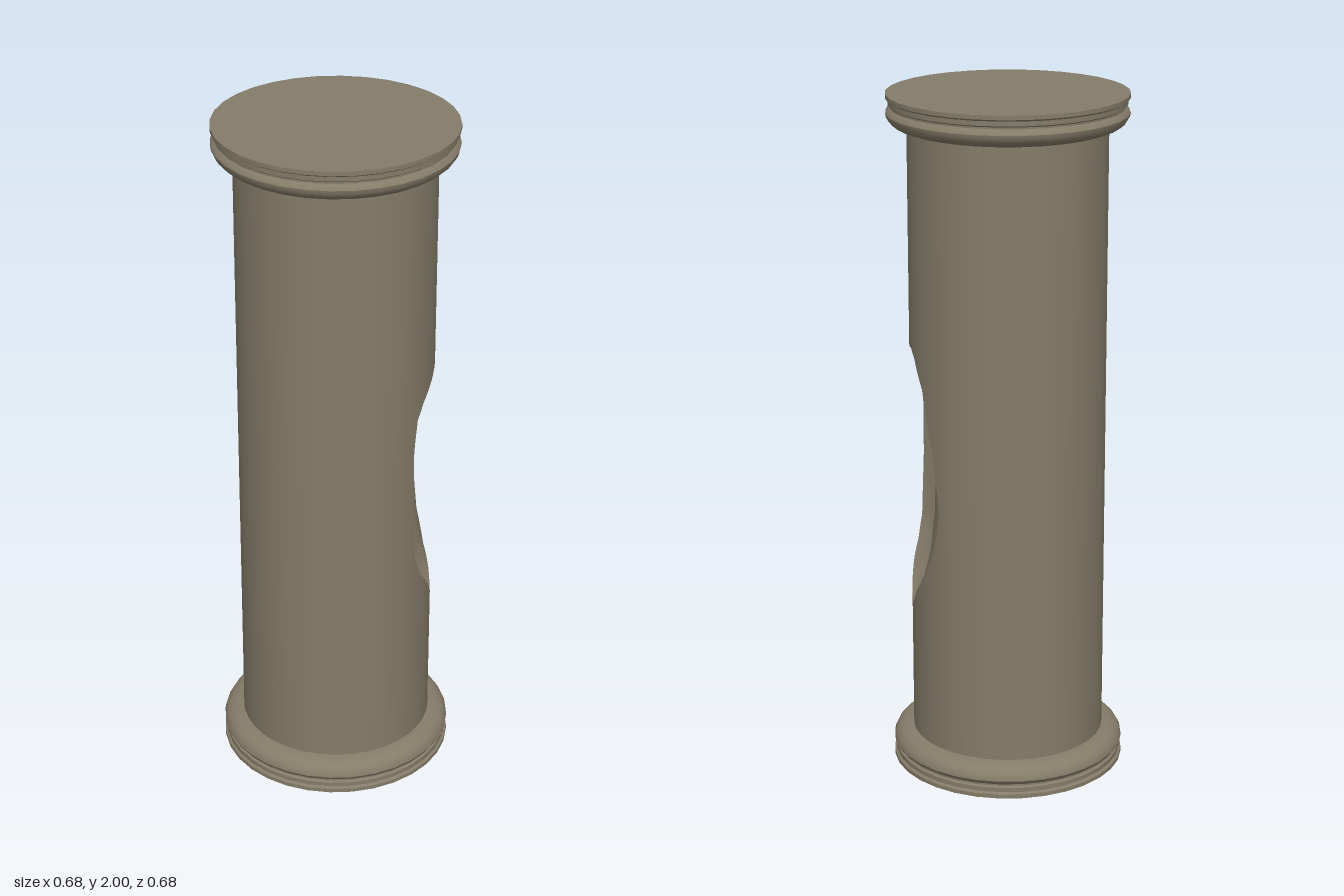
import * as THREE from 'three';
import { toCreasedNormals } from 'three/addons/utils/BufferGeometryUtils.js';

const R = 0.282, Y0 = 0.09, Y1 = 1.91;
const RAD = Math.PI / 180;

// Rim of the broken hollow: angle from +x towards +z, top height, bottom height
const RIM = [
  [-5, 0.84, 0.8], [0, 1.0, 0.7], [10, 1.18, 0.6], [21, 1.26, 0.55], [31, 1.29, 0.49],
  [41, 1.27, 0.54], [52, 1.24, 0.6], [60, 1.21, 0.64], [66, 1.17, 0.71], [69, 1.08, 0.9],
];

// Rim with extra columns between the points
function rimColumns(steps) {
  const cols = [];
  for (let i = 0; i < RIM.length - 1; i++) {
    for (let k = 0; k < steps; k++) {
      cols.push(RIM[i].map((v, j) => THREE.MathUtils.lerp(v, RIM[i + 1][j], k / steps)));
    }
  }
  cols.push(RIM[RIM.length - 1]);
  return cols;
}

// Surface from columns of [angle, y, radius] points
function sheet(columns) {
  const pos = [], index = [], n = columns[0].length;
  for (const col of columns) {
    for (const [a, y, r] of col) pos.push(r * Math.cos(a * RAD), y, r * Math.sin(a * RAD));
  }
  for (let i = 0; i < columns.length - 1; i++) {
    for (let j = 0; j < n - 1; j++) {
      const a = i * n + j, b = a + n;
      index.push(a, a + 1, b, b, a + 1, b + 1);
    }
  }
  const g = new THREE.BufferGeometry();
  g.setAttribute('position', new THREE.Float32BufferAttribute(pos, 3));
  g.setIndex(index);
  g.computeVertexNormals();
  return g;
}

// Depth of the hollow: steep at the front side, shallow at the other, leaning at the bottom
function hollowDepth(angle, t) {
  const s = (angle + 5) / 74;
  const across = Math.pow(Math.max(0, Math.sin(Math.PI * s * s)), 0.6);
  const along = Math.pow(Math.max(0, Math.sin(Math.PI * Math.pow(t, 1.3))), 0.55);
  const rough = 1 + 0.06 * Math.sin(angle * 0.35 + t * 9) + 0.04 * Math.sin(t * 23 - angle * 0.2);
  return 0.155 * across * along * rough;
}

export function createModel() {
  const model = new THREE.Group();
  const stone = new THREE.MeshStandardMaterial({ color: 0x857c69 });
  stone.name = 'weathered stone';
  const rust = new THREE.MeshStandardMaterial({ color: 0x8a4f2e });
  rust.name = 'rusty iron';

  const add = (name, geometry, material) => {
    const mesh = new THREE.Mesh(geometry, material);
    mesh.name = name;
    model.add(mesh);
    return mesh;
  };

  // Intact part of the shaft
  add('shaft', new THREE.CylinderGeometry(R, R, Y1 - Y0, 28, 1, true, 95 * RAD, 286 * RAD)
    .translate(0, (Y0 + Y1) / 2, 0), stone);

  // Shaft wall above and below the hollow
  const cols = rimColumns(3);
  add('wallAboveHollow', sheet(cols.map(([a, top]) => [[a, top, R], [a, Y1, R]])), stone);
  add('wallBelowHollow', sheet(cols.map(([a, , bottom]) => [[a, Y0, R], [a, bottom, R]])), stone);

  // Broken hollow
  const rows = 18;
  add('hollow', toCreasedNormals(sheet(cols.map(([a, top, bottom]) => {
    const col = [];
    for (let j = 0; j <= rows; j++) {
      const t = j / rows;
      col.push([a, THREE.MathUtils.lerp(bottom, top, t), R - hollowDepth(a, t)]);
    }
    return col;
  })), 0.7), stone);

  // Exposed bent reinforcing bars
  const bars = [
    [[0.112, 1.09, 0.142], [0.105, 1.0, 0.137], [0.102, 0.9, 0.13], [0.105, 0.8, 0.138], [0.108, 0.69, 0.148]],
    [[0.142, 1.25, 0.104], [0.136, 1.12, 0.106], [0.128, 1.0, 0.116], [0.132, 0.88, 0.1],
      [0.14, 0.76, 0.086], [0.145, 0.65, 0.108]],
  ];
  bars.forEach((points, i) => {
    const path = new THREE.CatmullRomCurve3(points.map((p) => new THREE.Vector3(...p)));
    add('reinforcingBar' + (i + 1), new THREE.TubeGeometry(path, 28, 0.013, 8), rust);
  });

  // Moulded base, mirrored as the capital
  const profile = [
    [0, 0], [0.341, 0], [0.341, 0.012], [0.334, 0.017], [0.334, 0.03], [0.328, 0.034],
    [0.328, 0.039], [0.336, 0.045], [0.341, 0.054], [0.339, 0.064], [0.332, 0.076],
    [0.32, 0.086], [0.305, 0.092], [0.28, 0.095],
  ].map(([x, y]) => new THREE.Vector2(x, y));
  const moulding = toCreasedNormals(new THREE.LatheGeometry(profile, 32), 0.6);
  add('base', moulding, stone);
  const capital = add('capital', moulding.clone().rotateX(Math.PI), stone);
  capital.position.y = 2;

  return model;
}
